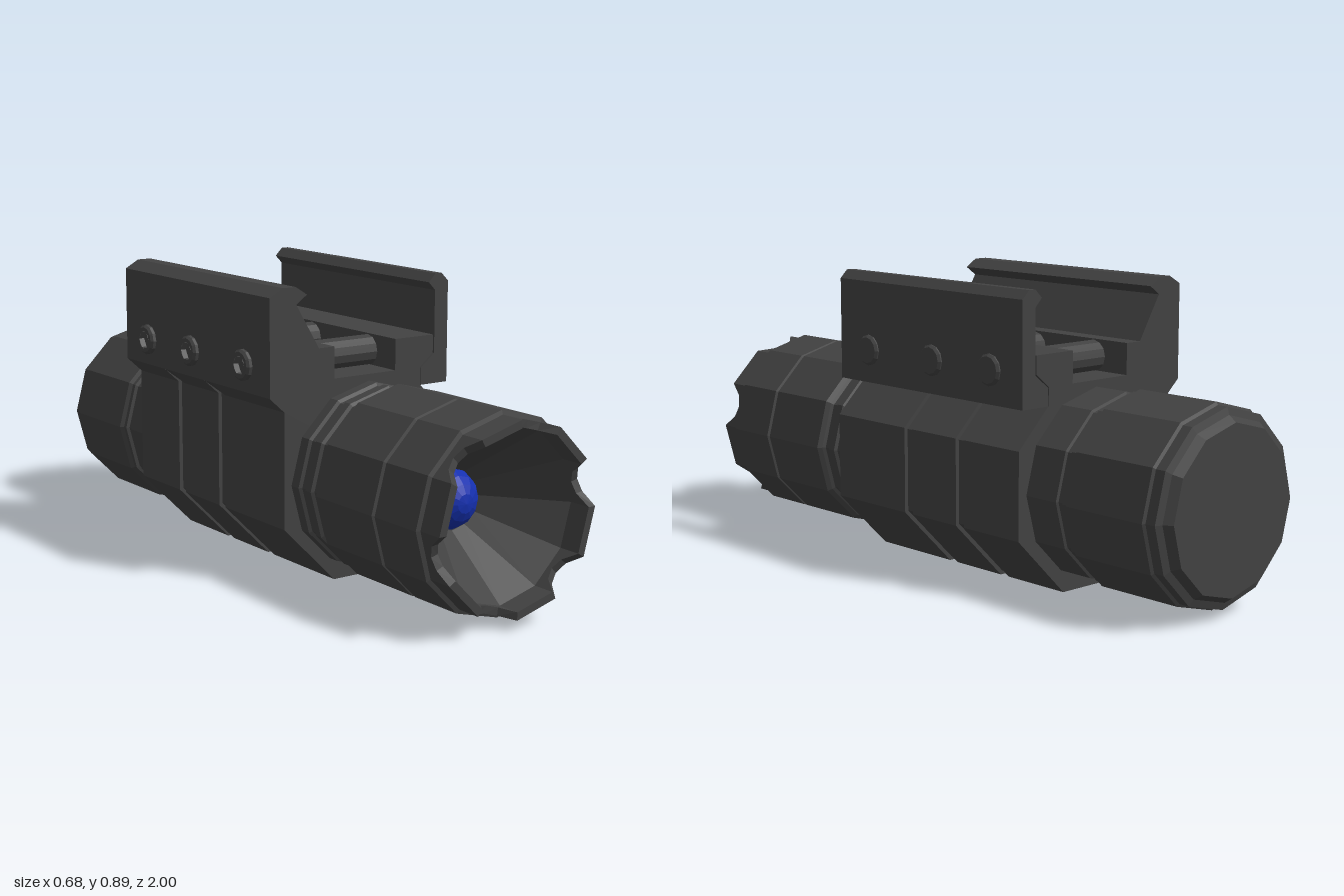
import * as THREE from 'three';

const AX = 0.03, AY = 0.31, SIDES = 12;
const dark = new THREE.MeshStandardMaterial({ color: 0x424242, flatShading: true, side: THREE.DoubleSide });
const blue = new THREE.MeshStandardMaterial({ color: 0x1530b0, flatShading: true });

function mesh(name, geometry, material = dark) {
  const m = new THREE.Mesh(geometry, material);
  m.name = name;
  return m;
}

// Twelve-sided turned part along z on the light's axis; points are [radius, z]
function turned(name, points) {
  const g = new THREE.LatheGeometry(points.map(([r, z]) => new THREE.Vector2(r, z)), SIDES);
  g.rotateX(Math.PI / 2).translate(AX, AY, 0);
  return mesh(name, g);
}

// Outline in x, y extruded between two z positions
function slab(name, outline, z0, z1) {
  const shape = new THREE.Shape(outline.map(([x, y]) => new THREE.Vector2(x, y)));
  const g = new THREE.ExtrudeGeometry(shape, { depth: z1 - z0, bevelEnabled: false });
  return mesh(name, g.translate(0, 0, z0));
}

// Mount cross-section; inset shrinks only the lower body for the grooves
function mountOutline(i) {
  const c = i * 0.41;
  return [
    [-0.095 + c, i], [0.16 - c, i], [0.34 - i, 0.18 + c], [0.34 - i, 0.44 - c], [0.225 - c, 0.555 - i],
    [0.223, 0.61], [0.272, 0.65], [0.272, 0.705], [0.128, 0.705], [0.128, 0.61],
    [-0.097, 0.61], [-0.097, 0.705], [-0.153, 0.705], [-0.233, 0.838], [-0.196, 0.865],
    [-0.235, 0.89], [-0.28, 0.89], [-0.325, 0.865], [-0.325, 0.575], [-0.275 + i, 0.53], [-0.275 + i, 0.18 + c],
  ];
}

// Crown ring: every other facet has a scalloped notch in its front edge
function crownGeometry(outer, inner, base) {
  const scallop = [[0, 1], [0.25, 0.957], [0.5, 0.945], [0.75, 0.957]];
  const rim = [];
  for (let f = 0; f < SIDES; f++) {
    const a = (f / SIDES) * Math.PI * 2, b = ((f + 1) / SIDES) * Math.PI * 2;
    for (const [t, z] of f % 2 === 0 ? scallop : [[0, 1]]) {
      rim.push({
        x: Math.cos(a) * (1 - t) + Math.cos(b) * t,
        y: Math.sin(a) * (1 - t) + Math.sin(b) * t, z,
      });
    }
  }
  const pos = [], index = [], n = rim.length;
  for (const p of rim) {
    for (const [r, z] of [[outer, base], [outer, p.z], [inner, p.z], [inner, base]]) {
      pos.push(AX + p.x * r, AY + p.y * r, z);
    }
  }
  for (let i = 0; i < n; i++) {
    const p = i * 4, q = ((i + 1) % n) * 4;
    for (let k = 0; k < 3; k++) index.push(p + k, q + k, q + k + 1, p + k, q + k + 1, p + k + 1);
  }
  const g = new THREE.BufferGeometry();
  g.setAttribute('position', new THREE.Float32BufferAttribute(pos, 3));
  g.setIndex(index);
  g.computeVertexNormals();
  return g;
}

export function createModel() {
  const model = new THREE.Group();
  model.name = 'railLight';

  // Light body: front head with neck rings, then rear cap
  model.add(turned('head', [
    [0.27, 0.2], [0.28, 0.32], [0.28, 0.365], [0.27, 0.37], [0.27, 0.395], [0.28, 0.4], [0.28, 0.425],
    [0.27, 0.43], [0.27, 0.455], [0.28, 0.46], [0.293, 0.47], [0.293, 0.727], [0.283, 0.73],
    [0.283, 0.738], [0.293, 0.741], [0.293, 0.918], [0.28, 0.922], [0.255, 0.922],
  ]));
  model.add(turned('rearCap', [
    [0, -1], [0.245, -1], [0.262, -0.975], [0.284, -0.968], [0.284, -0.935], [0.293, -0.93],
    [0.293, -0.65], [0.283, -0.64], [0.283, -0.625], [0.272, -0.622], [0.272, -0.6],
    [0.28, -0.597], [0.28, -0.46], [0.27, -0.4],
  ]));

  // Crown, reflector cone and bulb
  model.add(mesh('crown', crownGeometry(0.28, 0.256, 0.9)));
  model.add(turned('reflector', [[0, 0.69], [0.09, 0.69], [0.09, 0.72], [0.257, 0.93]]));
  const bulb = mesh('bulb', new THREE.SphereGeometry(0.092, 12, 5, 0, Math.PI * 2, 0, Math.PI / 2), blue);
  bulb.rotation.x = Math.PI / 2;
  bulb.position.set(AX, AY, 0.69);
  model.add(bulb);

  // Mount body in slices, with two shallow grooves between them
  const cuts = [-0.48, -0.25, -0.215, -0.02, 0.015, 0.33];
  for (let i = 0; i < cuts.length - 1; i++) {
    const groove = i % 2 === 1;
    model.add(slab(groove ? 'mountGroove' : 'mountBody', mountOutline(groove ? 0.012 : 0), cuts[i], cuts[i + 1]));
  }

  // Hooked clamp plate on the left
  model.add(slab('clampPlate', [
    [0.226, 0.555], [0.327, 0.555], [0.327, 0.865], [0.302, 0.89], [0.278, 0.89],
    [0.253, 0.865], [0.277, 0.84], [0.277, 0.648], [0.226, 0.608],
  ], -0.48, 0.33));

  // Cross bolts with a hex socket in the right-hand end
  for (const z of [0.195, -0.095, -0.345]) {
    const bolt = new THREE.Group();
    bolt.name = 'crossBolt';
    const profile = [[0, -0.338], [0.04, -0.338], [0.047, -0.331], [0.047, 0.335], [0.04, 0.342], [0.028, 0.342]];
    const shaft = mesh('boltShaft', new THREE.LatheGeometry(profile.map(([r, y]) => new THREE.Vector2(r, y)), 12));
    const socketProfile = [[0.029, 0.342], [0.028, 0.32], [0, 0.32]];
    const socket = mesh('boltSocket', new THREE.LatheGeometry(socketProfile.map(([r, y]) => new THREE.Vector2(r, y)), 6));
    bolt.add(shaft, socket);
    bolt.rotation.z = Math.PI / 2;
    bolt.position.set(0, 0.655, z);
    model.add(bolt);
  }
  return model;
}
